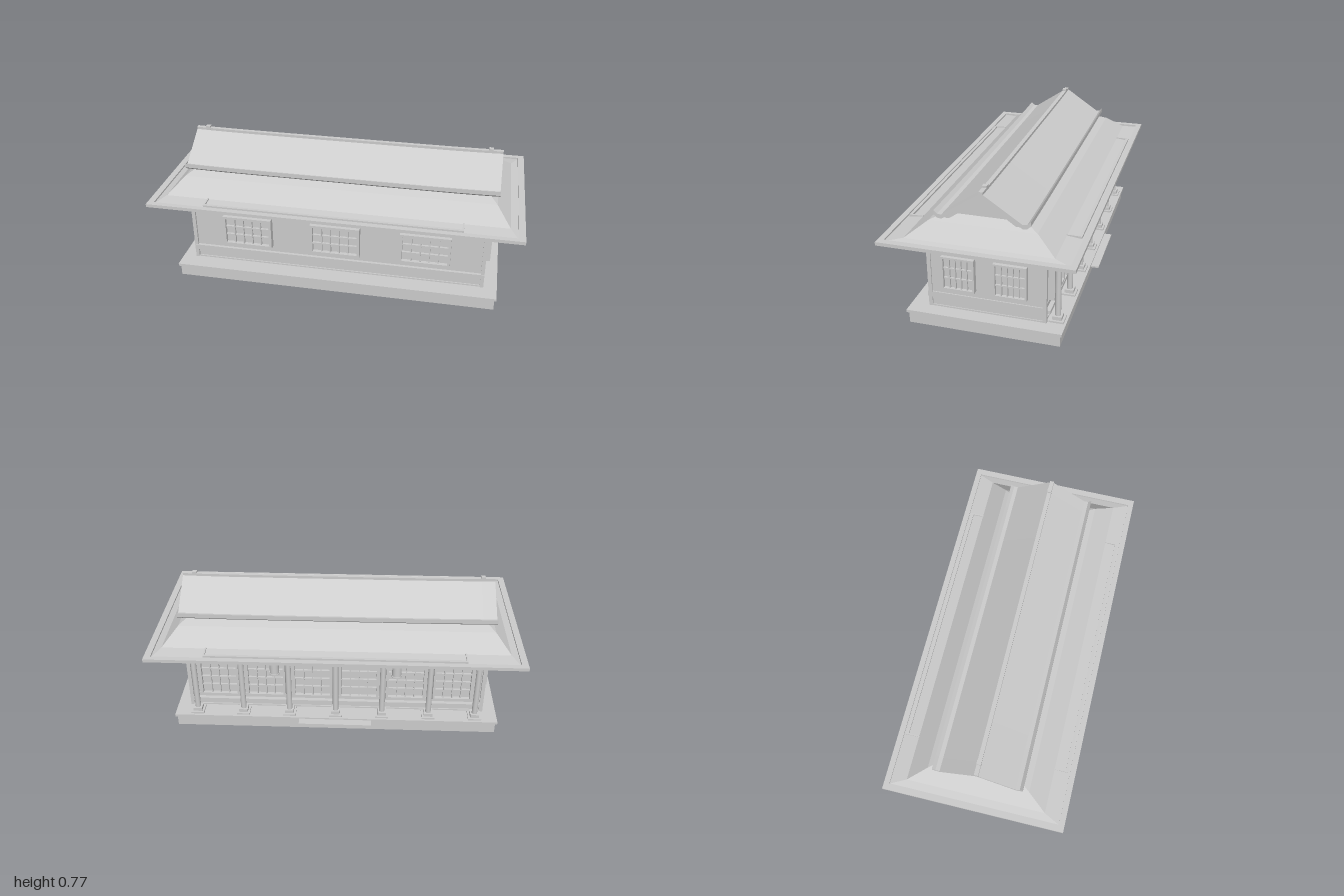
import * as THREE from 'three';

export function createModel() {
  const model = new THREE.Group();
  const plaster = new THREE.MeshStandardMaterial({ color: 0xcccccc });
  plaster.name = 'pale grey';

  const add = (name, geometry, x = 0, y = 0, z = 0, parent = model) => {
    const mesh = new THREE.Mesh(geometry, plaster);
    mesh.name = name;
    mesh.position.set(x, y, z);
    parent.add(mesh);
    return mesh;
  };
  // Box given by its ranges along each axis
  const box = (name, x0, x1, y0, y1, z0, z1, parent = model) =>
    add(name, new THREE.BoxGeometry(x1 - x0, y1 - y0, z1 - z0),
      (x0 + x1) / 2, (y0 + y1) / 2, (z0 + z1) / 2, parent);
  // Extrude a (z, y) outline along x, centred
  const prism = (points, length, steps = 1) => {
    const shape = new THREE.Shape(points.map(p => new THREE.Vector2(...p)));
    return new THREE.ExtrudeGeometry(shape, { depth: length, steps, bevelEnabled: false })
      .translate(0, 0, -length / 2).rotateY(Math.PI / 2);
  };

  // Lattice window, facing +z, standing on y = 0
  const lattice = (name, w, h, depth, cols, rows, frame = 0.014) => {
    const g = new THREE.Group();
    g.name = name;
    for (const s of [-1, 1]) {
      const x = s * (w - frame) / 2;
      box('frameSide', x - frame / 2, x + frame / 2, 0, h, 0, depth, g);
      const y = s > 0 ? h - frame : 0;
      box('frameRail', -w / 2 + frame, w / 2 - frame, y, y + frame, 0, depth, g);
    }
    box('pane', -w / 2 + frame, w / 2 - frame, frame, h - frame, 0, depth * 0.4, g);
    const iw = w - 2 * frame, ih = h - 2 * frame, b = 0.003;
    for (let i = 1; i < cols; i++) {
      const x = -iw / 2 + iw * i / cols;
      box('uprightBar', x - b, x + b, frame, h - frame, depth * 0.3, depth * 0.8, g);
    }
    for (let j = 1; j < rows; j++) {
      const y = frame + ih * j / rows;
      box('crossBar', -iw / 2, iw / 2, y - b, y + b, depth * 0.3, depth * 0.75, g);
    }
    model.add(g);
    return g;
  };

  // Platform and step
  box('platform', -0.885, 0.885, 0, 0.062, -0.392, 0.392);
  box('platformCap', -0.895, 0.895, 0.062, 0.077, -0.402, 0.402);
  box('step', -0.2, 0.2, 0.06, 0.069, -0.445, -0.39);

  // Walls, corner posts and wall bands
  box('walls', -0.815, 0.815, 0.077, 0.475, -0.296, 0.296);
  for (const x of [-0.812, 0.812]) for (const z of [-0.298, 0.298])
    box('cornerPost', x - 0.01, x + 0.01, 0.077, 0.472, z - 0.01, z + 0.01);
  box('wallBand', -0.821, 0.821, 0.13, 0.16, -0.3, 0.312);
  box('wallFoot', -0.82, 0.82, 0.077, 0.085, -0.303, 0.303);

  // Front and side windows
  for (const x of [-0.495, 0, 0.495])
    lattice('frontWindow', 0.275, 0.18, 0.036, 5, 3).position.set(x, 0.197, 0.296);
  for (const s of [-1, 1]) for (const z of [0.139, -0.128]) {
    const w = lattice('sideWindow', 0.17, 0.184, 0.03, 5, 3, 0.01);
    w.position.set(s * 0.815, 0.197, z);
    w.rotation.y = s * Math.PI / 2;
  }

  // Veranda: columns with stepped feet
  const spacing = 0.257;
  for (let i = -3; i <= 3; i++) {
    const x = i * spacing;
    box('columnPlate', x - 0.036, x + 0.036, 0.077, 0.086, -0.389, -0.315);
    box('columnFoot', x - 0.024, x + 0.024, 0.086, 0.105, -0.377, -0.329);
    add('column', new THREE.CylinderGeometry(0.0155, 0.0155, 0.37, 16), x, 0.289, -0.353);
    box('columnBracket', x - 0.012, x + 0.012, 0.452, 0.472, -0.385, -0.3);
  }
  // Veranda: lattice screens between the columns
  for (let i = -2.5; i <= 2.5; i++) {
    const w = lattice('backScreen', 0.215, 0.29, 0.034, 4, 5, 0.012);
    w.position.set(i * spacing, 0.167, -0.296);
    w.rotation.y = Math.PI;
  }
  box('backSill', -0.8, 0.8, 0.118, 0.137, -0.322, -0.296);
  box('backBeam', -0.8, 0.8, 0.455, 0.472, -0.328, -0.296);

  // Hanging lanterns
  for (const x of [-0.33, 0.33]) {
    add('lantern', new THREE.CylinderGeometry(0.025, 0.025, 0.075, 16), x, 0.39, -0.36);
    for (const y of [0.351, 0.429])
      add('lanternCap', new THREE.CylinderGeometry(0.029, 0.029, 0.006, 16), x, y, -0.36);
    add('lanternCord', new THREE.CylinderGeometry(0.003, 0.003, 0.045, 8), x, 0.452, -0.36);
  }

  // Slanted rafter ends below the eaves
  for (const s of [-1, 1]) for (let i = -2; i <= 2; i++)
    add('rafterEnd', prism([[0.296, 0.475], [0.296, 0.464], [0.37, 0.449], [0.375, 0.458], [0.33, 0.475]], 0.01),
      i * 0.24).rotation.y = s > 0 ? Math.PI : 0;

  // Hipped lower roof: rectangular rings [half x, half z, y] from soffit to top
  const rings = [
    [0.81, 0.29, 0.468], [0.85, 0.38, 0.468], [1, 0.485, 0.487], [1, 0.485, 0.505],
    [0.965, 0.455, 0.505], [0.965, 0.455, 0.496], [0.925, 0.372, 0.506],
    [0.85, 0.27, 0.58], [0.8, 0.2, 0.607]
  ];
  const corners = [[1, 1], [1, -1], [-1, -1], [-1, 1]];
  const verts = [];
  const corner = (r, k) => [r[0] * corners[k % 4][0], r[2], r[1] * corners[k % 4][1]];
  for (let i = 0; i < rings.length - 1; i++) for (let k = 0; k < 4; k++) {
    const a = corner(rings[i], k), b = corner(rings[i], k + 1);
    const c = corner(rings[i + 1], k + 1), d = corner(rings[i + 1], k);
    verts.push(...a, ...b, ...c, ...a, ...c, ...d);
  }
  const hip = new THREE.BufferGeometry();
  hip.setAttribute('position', new THREE.Float32BufferAttribute(verts, 3));
  hip.computeVertexNormals();
  add('lowerRoof', hip);

  // Snow rails with tapered returns, front and back
  for (const s of [-1, 1]) {
    box('eaveRail', -0.69, 0.69, 0.495, 0.509, s * 0.438 - 0.008, s * 0.438 + 0.008);
    for (const x of [-0.688, 0.688])
      add('eaveRailEnd', prism([[0.37, 0.503], [0.445, 0.494], [0.445, 0.509], [0.37, 0.511]], 0.008), x)
        .rotation.y = s > 0 ? Math.PI : 0;
  }

  // Gable body with diamond ornaments
  add('gableWall', prism([[-0.2, 0.595], [0.2, 0.595], [0, 0.736]], 1.6));
  add('gableOrnament', prism([[0, 0.642], [0.021, 0.67], [0, 0.698], [-0.021, 0.67]], 1.616));

  // Upper roof: section with upturned eaves, mirrored; ends sweep upward
  const half = [[0.2, 0.616], [0.222, 0.618], [0.239, 0.634], [0.239, 0.611], [0.222, 0.597], [0.2, 0.594]];
  const mirrored = half.map(([z, y]) => [-z, y]).reverse();
  const sweep = (geometry, amount) => {
    const p = geometry.attributes.position;
    for (let i = 0; i < p.count; i++)
      p.setY(i, p.getY(i) + amount * Math.pow(Math.abs(p.getX(i)) / 0.86, 5));
    geometry.computeVertexNormals();
    return geometry;
  };
  add('upperRoof', sweep(prism([[0, 0.75], ...half, [0, 0.732], ...mirrored], 1.72, 24), 0.005));

  // Barge boards under the gable ends
  for (const x of [-0.825, 0.825])
    add('bargeBoard', prism([[0, 0.737], [0.19, 0.602], [0.165, 0.602], [0, 0.717], [-0.165, 0.602], [-0.19, 0.602]], 0.05), x);

  // Ridge and finials
  add('ridge', sweep(prism([[-0.011, 0.738], [0.011, 0.738], [0.011, 0.757], [-0.011, 0.757]], 1.72, 24), 0.004));
  for (const x of [-0.795, 0.795])
    box('ridgeFinial', x - 0.012, x + 0.012, 0.75, 0.77, -0.012, 0.012);

  return model;
}
